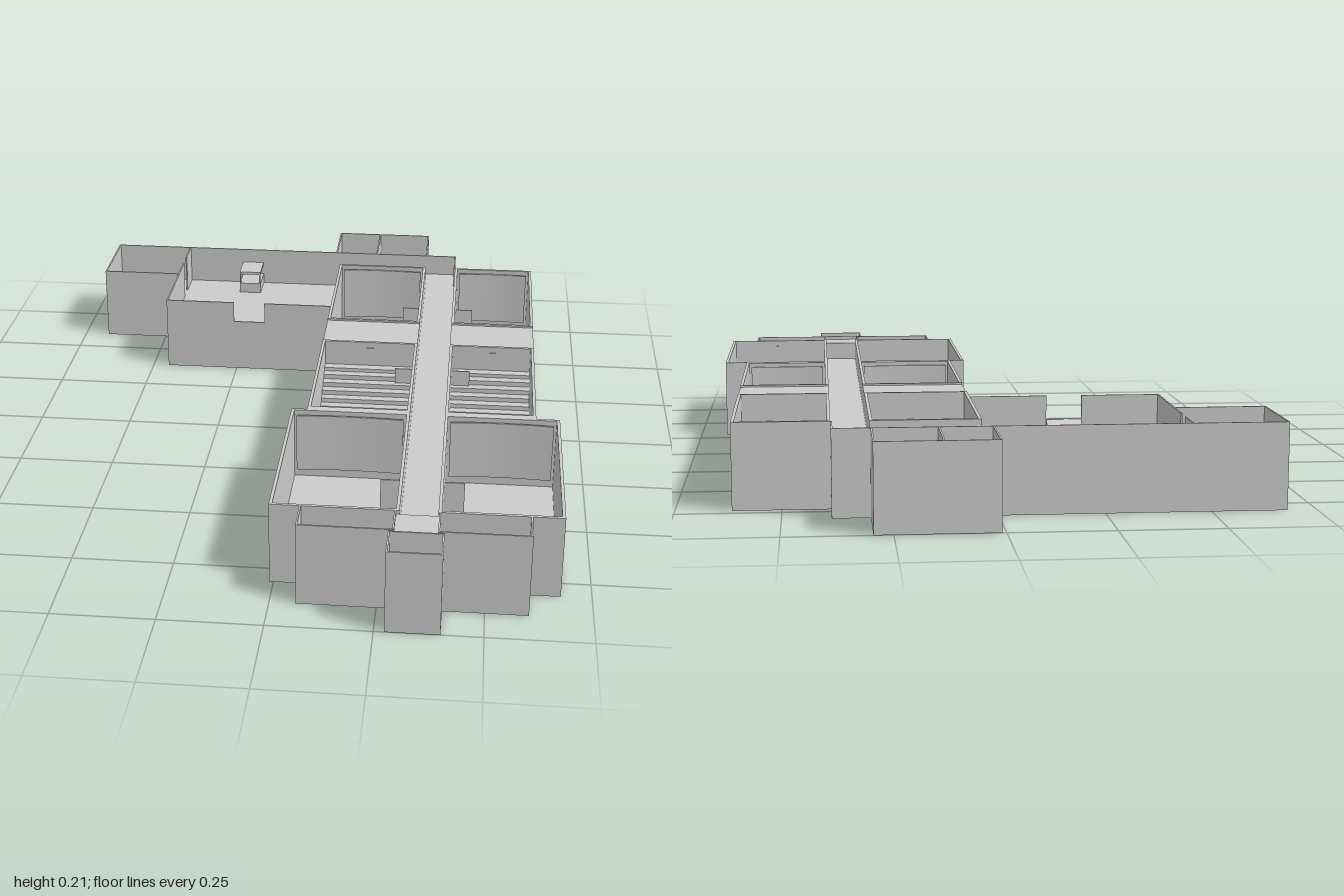
import * as THREE from 'three';

const H = 0.21;        // wall height
const T = 0.008;       // wall thickness
const LOBBY = 0.1;     // lobby floor level
const HALL = 0.15;     // corridor floor level

const grey = new THREE.MeshStandardMaterial({ color: 0xcccccc, flatShading: true, side: THREE.DoubleSide });

// Box given by its limits on each axis
function block(parent, name, x0, x1, y0, y1, z0, z1) {
  const mesh = new THREE.Mesh(new THREE.BoxGeometry(x1 - x0, y1 - y0, z1 - z0), grey);
  mesh.position.set((x0 + x1) / 2, (y0 + y1) / 2, (z0 + z1) / 2);
  mesh.name = name;
  parent.add(mesh);
  return mesh;
}

// Open-topped room: floor slab and the chosen walls (l, r, b = back, f = front)
function room(parent, name, x0, x1, z0, z1, floorY, sides = 'lrbf', t = T) {
  const g = new THREE.Group();
  g.name = name;
  block(g, 'floor', x0, x1, 0, floorY, z0, z1);
  if (sides.includes('l')) block(g, 'sideWall', x0, x0 + t, 0, H, z0, z1);
  if (sides.includes('r')) block(g, 'sideWall', x1 - t, x1, 0, H, z0, z1);
  if (sides.includes('b')) block(g, 'backWall', x0, x1, 0, H, z0, z0 + t);
  if (sides.includes('f')) block(g, 'frontWall', x0, x1, 0, H, z1 - t, z1);
  parent.add(g);
  return g;
}

// Side profile extruded across x; points are [z, y]
function profileAcross(parent, name, points, x0, x1) {
  const shape = new THREE.Shape(points.map(([z, y]) => new THREE.Vector2(-z, y)));
  const geo = new THREE.ExtrudeGeometry(shape, { depth: x1 - x0, bevelEnabled: false });
  geo.rotateY(Math.PI / 2);
  const mesh = new THREE.Mesh(geo, grey);
  mesh.position.x = x0;
  mesh.name = name;
  parent.add(mesh);
}

// Auditorium: screen at one end, rows rising towards the other.
// rise = +1 when the rows climb towards +z; doorSide = +1 when the door is at high x
function auditorium(parent, name, x0, x1, z0, z1, rise, doorSide, doorZ) {
  const g = room(parent, name, x0, x1, z0, z1, 0.02);
  const screenZ = rise > 0 ? z0 + T : z1 - T;
  const depth = z1 - z0 - 2 * T;
  const at = d => screenZ + rise * d;
  const rows = 10, start = 0.35 * depth, stop = depth - 0.026;
  const pts = [[at(start), 0.015]];
  for (let i = 0; i < rows; i++) {
    const y = 0.02 + 0.11 * Math.pow((i + 1) / rows, 1.2);
    pts.push([at(start + (stop - start) * i / rows), y]);
    pts.push([at(start + (stop - start) * (i + 1) / rows), y]);
  }
  pts.push([at(stop), 0.14], [at(depth), 0.14], [at(depth), 0.015]);
  profileAcross(g, 'seatingSteps', pts, x0 + T, x1 - T);

  // slightly bowed screen
  const w = x1 - x0 - 0.03;
  const geo = new THREE.BoxGeometry(w, 0.155, 0.005, 16, 1, 1);
  const p = geo.attributes.position;
  for (let i = 0; i < p.count; i++) {
    const u = p.getX(i) / (w / 2);
    p.setZ(i, p.getZ(i) + rise * 0.006 * u * u);
  }
  geo.computeVertexNormals();
  const screen = new THREE.Mesh(geo, grey);
  screen.position.set((x0 + x1) / 2, 0.1225, at(0.007));
  screen.name = 'screen';
  g.add(screen);

  // partition beside the entrance
  const inner = doorSide > 0 ? x1 - T : x0 + T;
  const reach = inner - doorSide * 0.05;
  block(g, 'entrancePartition', Math.min(inner, reach), Math.max(inner, reach), 0.02, 0.16, doorZ - 0.002, doorZ + 0.002);

  // projection window frame on the rear wall
  const mid = (x0 + x1) / 2, zw = at(depth);
  block(g, 'projectionWindow', mid - 0.012, mid + 0.012, 0.175, 0.193, zw - 0.002, zw + 0.002);
}

export function createModel() {
  const model = new THREE.Group();
  model.name = 'cinemaBuilding';

  // Auditoriums either side of the corridor
  auditorium(model, 'backAuditoriumA', 0.03, 0.295, -0.725, -0.295, 1, 1, -0.515);
  auditorium(model, 'backAuditoriumB', 0.385, 0.617, -0.725, -0.295, 1, -1, -0.515);
  auditorium(model, 'middleAuditoriumA', 0.03, 0.295, -0.145, 0.29, -1, 1, -0.08);
  auditorium(model, 'middleAuditoriumB', 0.385, 0.617, -0.145, 0.29, -1, -1, -0.08);
  auditorium(model, 'frontAuditoriumA', -0.01, 0.295, 0.3, 0.81, 1, 1, 0.57);
  auditorium(model, 'frontAuditoriumB', 0.385, 0.677, 0.3, 0.81, 1, -1, 0.57);

  // Projection booths between auditoriums, and filler between middle and front
  for (const [x0, x1] of [[0.03, 0.295], [0.385, 0.617]]) {
    block(model, 'projectionBooth', x0, x1, 0, 0.205, -0.295, -0.145);
    block(model, 'partyWall', x0, x1, 0, H, 0.29, 0.3);
  }

  // Corridor and its front landing
  block(model, 'corridorFloor', 0.295, 0.385, 0, HALL, -0.725, 0.81);
  block(model, 'frontLanding', 0.287, 0.387, 0, 0.2, 0.81, 0.905);

  // Front rooms and exit porch
  room(model, 'frontStoreA', 0.062, 0.287, 0.81, 0.9, 0.02, 'lrf', 0.004);
  room(model, 'frontStoreB', 0.387, 0.602, 0.81, 0.9, 0.02, 'lrf', 0.004);
  room(model, 'exitPorch', 0.274, 0.402, 0.905, 1.0, 0.02, 'lrbf', 0.004);

  // Rear rooms
  room(model, 'rearRoomA', 0.01, 0.14, -1.0, -0.825, 0.02, 'lrb', 0.004);
  room(model, 'rearRoomB', 0.14, 0.295, -1.0, -0.825, 0.02, 'rb', 0.004);

  // Lobby: floor, walls, entrance opening and ramp
  const lobby = new THREE.Group();
  lobby.name = 'lobby';
  model.add(lobby);
  const t = 0.004;
  block(lobby, 'lobbyFloor', -0.455, 0.03, 0, LOBBY, -0.825, -0.385);
  block(lobby, 'passageFloor', 0.03, 0.385, 0, HALL, -0.825, -0.725);
  block(lobby, 'backWall', -0.455, 0.385, 0, H, -0.825, -0.825 + t);
  block(lobby, 'endWall', 0.385 - t, 0.385, 0, H, -0.825, -0.725);
  block(lobby, 'frontWall', -0.455, -0.255, 0, H, -0.385 - t, -0.385);
  block(lobby, 'frontWall', -0.165, 0.03, 0, H, -0.385 - t, -0.385);
  block(lobby, 'entranceSill', -0.255, -0.165, 0, 0.15, -0.385 - t, -0.385);
  profileAcross(lobby, 'entranceRamp', [[-0.475, LOBBY], [-0.387, 0.15], [-0.387, LOBBY - 0.01], [-0.475, LOBBY - 0.01]], -0.255, -0.165);
  block(lobby, 'sideWall', -0.455, -0.455 + t, 0, H, -0.825, -0.735);
  block(lobby, 'sideWall', -0.455, -0.455 + t, 0, H, -0.685, -0.385);

  // Kiosk: counter, posts and canopy
  const kiosk = new THREE.Group();
  kiosk.name = 'kiosk';
  lobby.add(kiosk);
  block(kiosk, 'counter', -0.285, -0.22, LOBBY, 0.13, -0.821, -0.735);
  for (const x of [-0.285, -0.224]) block(kiosk, 'post', x, x + 0.004, 0.13, 0.16, -0.739, -0.735);
  block(kiosk, 'canopy', -0.285, -0.22, 0.16, 0.168, -0.821, -0.735);

  // Office beside the lobby
  room(model, 'sideOffice', -0.68, -0.455, -0.825, -0.595, LOBBY, 'lbf', t);

  return model;
}
